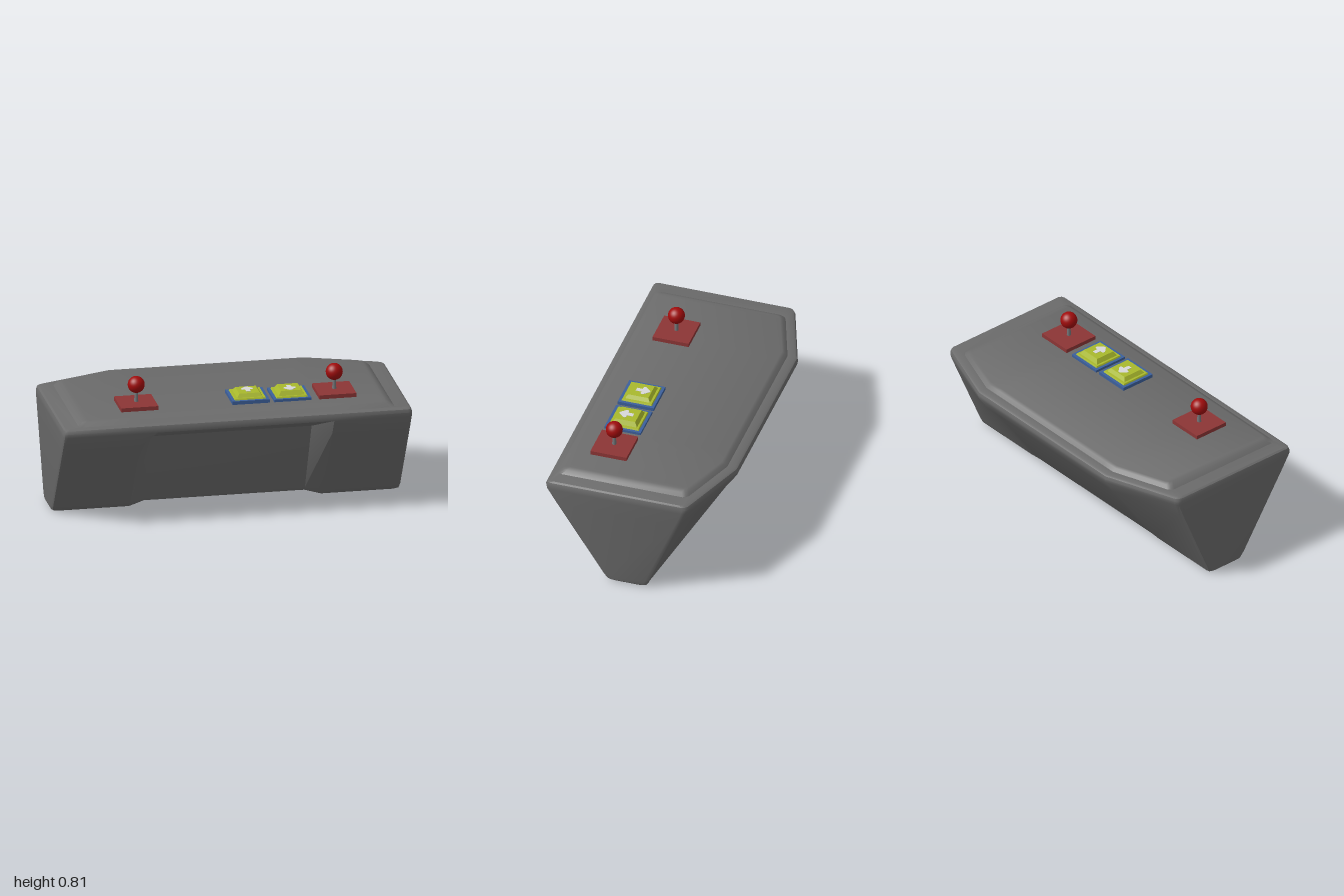
import * as THREE from 'three';
import { toCreasedNormals } from 'three/addons/utils/BufferGeometryUtils.js';

const mat = (name, color) => {
  const m = new THREE.MeshStandardMaterial({ color });
  m.name = name;
  return m;
};

const DECK = 0.634;

// Ring levels of the case: [y, front z, back z, back z at the sides, half width]
const LEVELS = [
  [0, 0.11, -0.08, -0.08, 0.985],
  [0.012, 0.135, -0.105, -0.105, 0.997],
  [0.04, 0.156, -0.127, -0.118, 1],
  [0.47, 0.436, -0.431, -0.297, 1],
  [0.56, 0.492, -0.493, -0.333, 1],
  [0.582, 0.496, -0.498, -0.337, 1],
  [0.6, 0.49, -0.492, -0.332, 0.995],
  [0.607, 0.475, -0.48, -0.32, 0.985],
  [0.607, 0.455, -0.437, -0.31, 0.905],
  [0.625, 0.43, -0.42, -0.3, 0.885],
  [DECK, 0.415, -0.405, -0.29, 0.865],
];

// One closed outline, from the front middle round by the left side
function ring([y, zf, zb, zs, X]) {
  const r = 0.025;
  const inner = y < 0.5 ? 0.08 + (y / 0.47) * 0.21 : zf; // floor of the front recess
  const raised = Math.max(y, 0.018 + y * 0.2);           // arch under the middle
  const half = [
    [0.46, raised, inner],
    [0.55, y, zf],
    [X - r, y, zf],
    [X - 0.3 * r, y, zf - 0.3 * r],
    [X, y, zf - r],
    [X, y, zs + r],
    [X - 0.3 * r, y, zs + 0.2 * r],
    [X - r, y, zs - r * (zs - zb) / (X - 0.55)],
    [0.55, y, zb],
    [0.46, raised, zb],
  ];
  return [...half, ...half.map(([x, h, z]) => [-x, h, z]).reverse()];
}

function caseGeometry() {
  const n = 20, pos = [], idx = [];
  LEVELS.forEach((l) => ring(l).forEach((p) => pos.push(...p)));
  const quad = (a, b, c, d) => idx.push(a, b, c, a, c, d);
  for (let j = 0; j < LEVELS.length - 1; j++) {
    for (let i = 0; i < n; i++) {
      const k = (i + 1) % n;
      quad(j * n + i, j * n + k, (j + 1) * n + k, (j + 1) * n + i);
    }
  }
  // top and bottom caps, strip by strip from front to back
  const t = (LEVELS.length - 1) * n;
  for (let k = 0; k < 9; k++) {
    const f0 = (15 + k) % n, f1 = (16 + k) % n, b0 = 14 - k, b1 = 13 - k;
    quad(t + f0, t + f1, t + b1, t + b0);
    quad(f0, b0, b1, f1);
  }
  const g = new THREE.BufferGeometry();
  g.setAttribute('position', new THREE.Float32BufferAttribute(pos, 3));
  g.setIndex(idx);
  return toCreasedNormals(g, 0.6);
}

// Square block with sloping sides, standing on y = 0
function taperedBlock(bottom, top, height) {
  const g = new THREE.CylinderGeometry(top / Math.SQRT2, bottom / Math.SQRT2, height, 4, 1);
  g.rotateY(Math.PI / 4);
  g.translate(0, height / 2, 0);
  return toCreasedNormals(g, 0.3);
}

function arrowGeometry() {
  const s = new THREE.Shape();
  s.moveTo(-0.013, -0.03);
  s.lineTo(0.013, -0.03);
  s.lineTo(0.013, 0.004);
  s.lineTo(0.028, 0.004);
  s.quadraticCurveTo(0.04, 0.01, 0.032, 0.022);
  s.lineTo(0.008, 0.048);
  s.quadraticCurveTo(0, 0.055, -0.008, 0.048);
  s.lineTo(-0.032, 0.022);
  s.quadraticCurveTo(-0.04, 0.01, -0.028, 0.004);
  s.lineTo(-0.013, 0.004);
  s.closePath();
  const g = new THREE.ExtrudeGeometry(s, { depth: 0.003, bevelEnabled: false, curveSegments: 5 });
  return g.rotateX(-Math.PI / 2);
}

export function createModel() {
  const root = new THREE.Group();
  root.name = 'controlPanel';
  const grey = mat('case grey', 0x6b6b6b);
  const red = mat('base red', 0x8c3535);
  const ballRed = mat('ball red', 0xa00c0c);
  const steel = mat('stick steel', 0x74777a);
  const blue = mat('frame blue', 0x3c609c);
  const lime = mat('button lime', 0xa9b92c);
  const white = mat('arrow white', 0xd8d8d8);

  const add = (parent, name, geo, material, y = 0) => {
    const m = new THREE.Mesh(geo, material);
    m.name = name;
    m.position.y = y;
    parent.add(m);
    return m;
  };
  const station = (name, x) => {
    const g = new THREE.Group();
    g.name = name;
    g.position.set(x, DECK, 0.213);
    root.add(g);
    return g;
  };

  add(root, 'case', caseGeometry(), grey);

  // Joysticks
  const base = new THREE.BoxGeometry(0.213, 0.023, 0.213);
  const stick = new THREE.CylinderGeometry(0.009, 0.012, 0.08, 16);
  const ball = new THREE.SphereGeometry(0.048, 32, 20);
  for (const [name, x] of [['rightJoystick', -0.53], ['leftJoystick', 0.605]]) {
    const g = station(name, x);
    add(g, 'joystickBase', base, red, 0.0115);
    add(g, 'stick', stick, steel, 0.06);
    add(g, 'ball', ball, ballRed, 0.123);
  }

  // Arrow buttons, one pointing back and one pointing forward
  const arrow = arrowGeometry();
  for (const [name, x, h, turn] of [['backButton', 0.108, 0.02, 0], ['forwardButton', 0.347, 0.015, Math.PI]]) {
    const g = station(name, x);
    add(g, 'buttonFrame', new THREE.BoxGeometry(0.213, h, 0.213), blue, h / 2);
    add(g, 'buttonFlange', taperedBlock(0.18, 0.172, 0.008), lime, h);
    add(g, 'buttonCap', taperedBlock(0.155, 0.118, 0.046 - h), lime, h + 0.002);
    add(g, 'arrow', arrow, white, 0.047).rotation.y = turn;
  }
  return root;
}
